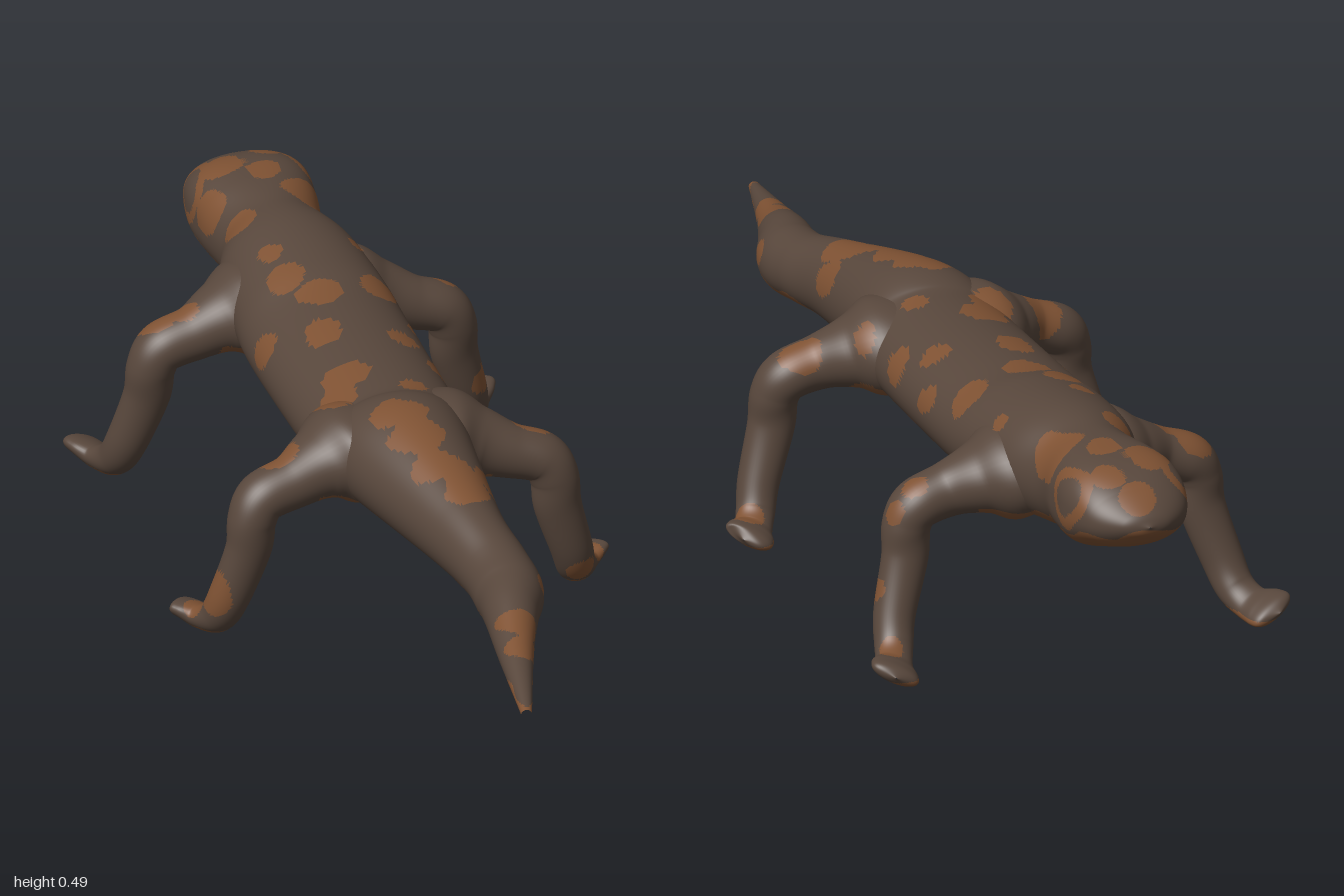
import * as THREE from 'three';

const darkSkin = new THREE.MeshStandardMaterial({ color: 0x58473c });
darkSkin.name = 'darkSkin';
const rustSkin = new THREE.MeshStandardMaterial({ color: 0x7f5233 });
rustSkin.name = 'rustSkin';

// Rust blotches on the back and tail: x, y, z, radius
const BACK_SPOTS = [
  [-0.08, 0.45, -0.67, 0.04], [-0.07, 0.47, -0.51, 0.028], [-0.06, 0.46, -0.42, 0.04],
  [-0.02, 0.46, -0.36, 0.045], [0.1, 0.43, -0.39, 0.045], [0.11, 0.44, -0.54, 0.018],
  [0.14, 0.38, -0.27, 0.032], [-0.14, 0.38, -0.3, 0.035], [-0.05, 0.46, -0.22, 0.045],
  [0.09, 0.43, -0.19, 0.032], [0.14, 0.38, -0.11, 0.04], [-0.06, 0.44, -0.06, 0.05],
  [-0.1, 0.43, -0.01, 0.05], [0.14, 0.37, 0.03, 0.04], [0.05, 0.44, 0.02, 0.025],
  [-0.02, 0.46, 0.15, 0.05], [-0.01, 0.45, 0.22, 0.055], [0.01, 0.42, 0.31, 0.05],
  [0.04, 0.4, 0.37, 0.05], [0.1, 0.37, 0.33, 0.04], [0.11, 0.31, 0.61, 0.025],
  [0.02, 0.31, 0.76, 0.04], [0.01, 0.29, 0.82, 0.035],
];
// Rust blotches on the legs and feet
const LEG_SPOTS = [
  [-0.28, 0.34, -0.54, 0.04], [-0.22, 0.36, -0.52, 0.025], [0.28, 0.34, -0.54, 0.025],
  [0.34, 0.3, -0.55, 0.03], [0.35, 0.14, -0.53, 0.03], [0.36, 0.06, -0.62, 0.025],
  [-0.22, 0.35, 0.08, 0.045], [0.26, 0.35, 0.08, 0.04], [-0.36, 0.11, 0.11, 0.045],
  [-0.37, 0.05, 0.04, 0.035], [0.35, 0.06, 0.11, 0.035], [0.38, 0.05, 0.04, 0.03],
];
// Rust blotches on the head
const HEAD_SPOTS = [
  [0.08, 0.46, -0.73, 0.06], [-0.1, 0.43, -0.77, 0.045], [0.01, 0.49, -0.8, 0.035],
  [-0.05, 0.48, -0.86, 0.045], [0.04, 0.47, -0.9, 0.035], [0.01, 0.44, -0.95, 0.035],
];
const SPOTS = [...BACK_SPOTS, ...LEG_SPOTS, ...HEAD_SPOTS];

const wobble = (p) =>
  Math.sin(p.x * 55 + p.z * 31) * 0.5 + Math.sin(p.z * 63 - p.y * 47 + 1.3) * 0.5;

const inSpot = (p) => SPOTS.some(([x, y, z, r]) =>
  Math.hypot(p.x - x, p.y - y, p.z - z) < r * (0.97 + 0.25 * wobble(p)));

// A rust ring surrounds a dark patch on each side of the head
const inEyeRing = (p) => {
  const d = Math.hypot(Math.abs(p.x) - 0.11, p.y - 0.43, p.z + 0.87) + 0.01 * wobble(p);
  return d > 0.035 && d < 0.058;
};

// The belly is rust up to a line that is low on the tail and rises under the chin
const onBelly = (p) => {
  const tail = THREE.MathUtils.smoothstep(p.z, 0, 0.35);
  const line = 0.298 - 0.032 * tail + 0.24 * Math.max(0, -0.62 - p.z);
  return Math.abs(p.x) < 0.17 && p.y > 0.2 && p.y < line + 0.008 * wobble(p);
};

const onSole = (p) => p.y < 0.024;

// The skull is boxier than the rounded body
const squareness = (z) => 1 - 0.25 * Math.exp(-(((z + 0.85) / 0.09) ** 2));

// Smooth loft through stations [x, y, z, radius along normal, radius across]
function loft(name, stations, startNormal, rings, sides) {
  const curve = (toPoint) => new THREE.CatmullRomCurve3(stations.map(toPoint), false, 'catmullrom', 0.5);
  const centres = curve((s) => new THREE.Vector3(s[0], s[1], s[2]));
  const sizes = curve((s) => new THREE.Vector3(s[3], s[4], 0));
  const points = [];
  const normal = startNormal.clone();
  for (let i = 0; i <= rings; i++) {
    const t = i / rings;
    const c = centres.getPoint(t), size = sizes.getPoint(t), tangent = centres.getTangent(t);
    normal.addScaledVector(tangent, -normal.dot(tangent)).normalize();
    const across = tangent.clone().cross(normal);
    const power = squareness(c.z);
    const bend = (v) => Math.sign(v) * Math.pow(Math.abs(v), power);
    for (let j = 0; j < sides; j++) {
      const a = (j / sides) * Math.PI * 2;
      points.push(c.clone()
        .addScaledVector(normal, bend(Math.cos(a)) * Math.max(size.x, 0.001))
        .addScaledVector(across, bend(Math.sin(a)) * Math.max(size.y, 0.001)));
    }
  }
  // Sort faces into dark skin and rust
  const faces = [[], []];
  const mid = new THREE.Vector3();
  const addFace = (a, b, c) => {
    mid.copy(points[a]).add(points[b]).add(points[c]).divideScalar(3);
    const rust = onBelly(mid) || onSole(mid) || inEyeRing(mid) || inSpot(mid);
    faces[rust ? 1 : 0].push(a, b, c);
  };
  for (let i = 0; i < rings; i++) {
    for (let j = 0; j < sides; j++) {
      const k = (j + 1) % sides, row = i * sides, next = row + sides;
      addFace(row + j, row + k, next + k);
      addFace(row + j, next + k, next + j);
    }
  }
  const geometry = new THREE.BufferGeometry().setFromPoints(points);
  geometry.setIndex([...faces[0], ...faces[1]]);
  geometry.addGroup(0, faces[0].length, 0);
  geometry.addGroup(faces[0].length, faces[1].length, 1);
  geometry.computeVertexNormals();
  const mesh = new THREE.Mesh(geometry, [darkSkin, rustSkin]);
  mesh.name = name;
  return mesh;
}

// Body outline from tail tip to snout: z, centre x, half width, top, bottom
const BODY = [
  [1.0, -0.036, 0.01, 0.265, 0.247], [0.8, 0.005, 0.034, 0.31, 0.243],
  [0.68, 0.034, 0.051, 0.345, 0.236], [0.6, 0.054, 0.065, 0.358, 0.226],
  [0.52, 0.052, 0.066, 0.37, 0.236], [0.4, 0.032, 0.075, 0.402, 0.242],
  [0.14, 0, 0.126, 0.464, 0.243], [0.02, 0, 0.146, 0.446, 0.24],
  [-0.32, 0, 0.153, 0.455, 0.242], [-0.46, 0, 0.15, 0.475, 0.248],
  [-0.6, 0, 0.135, 0.49, 0.26], [-0.7, 0, 0.104, 0.485, 0.275],
  [-0.79, 0, 0.114, 0.488, 0.295], [-0.87, 0, 0.118, 0.483, 0.315],
  [-0.94, 0, 0.098, 0.455, 0.34], [-0.985, 0, 0.05, 0.424, 0.374],
  [-1.0, 0, 0.002, 0.401, 0.399],
];

// Leg from inside the body to the toes: x, y, z, radius along normal, radius across
const LEG = [
  [0.0, 0.355, -0.54, 0.1, 0.07], [0.1, 0.345, -0.54, 0.115, 0.09],
  [0.155, 0.335, -0.535, 0.076, 0.066], [0.21, 0.318, -0.525, 0.052, 0.052],
  [0.27, 0.298, -0.525, 0.05, 0.048], [0.292, 0.26, -0.525, 0.045, 0.046],
  [0.298, 0.2, -0.532, 0.038, 0.045], [0.328, 0.1, -0.555, 0.038, 0.04],
  [0.342, 0.05, -0.585, 0.034, 0.037], [0.358, 0.031, -0.625, 0.024, 0.037],
  [0.371, 0.034, -0.66, 0.02, 0.047], [0.38, 0.036, -0.686, 0.016, 0.042],
  [0.385, 0.037, -0.702, 0.001, 0.002],
];

// Hind legs stand further back, lean less forward and turn their feet out
const hindStation = ([x, y, z, a, b], i) => {
  const along = i / (LEG.length - 1);
  return [x + 0.022 * along ** 4, y, z + 0.6 + 0.085 * along, a, b];
};

export function createModel() {
  const model = new THREE.Group();
  model.name = 'salamander';

  model.add(loft('body',
    BODY.map(([z, x, w, top, low]) => [x, (top + low) / 2, z, (top - low) / 2, w]),
    new THREE.Vector3(0, 1, 0), 360, 96));

  for (const [side, label] of [[1, 'left'], [-1, 'right']]) {
    for (const [part, leg] of [['FrontLeg', LEG], ['HindLeg', LEG.map(hindStation)]]) {
      const stations = leg.map(([x, ...rest]) => [side * x, ...rest]);
      model.add(loft(label + part, stations, new THREE.Vector3(0, 0, 1), 130, 44));
    }
  }
  return model;
}
